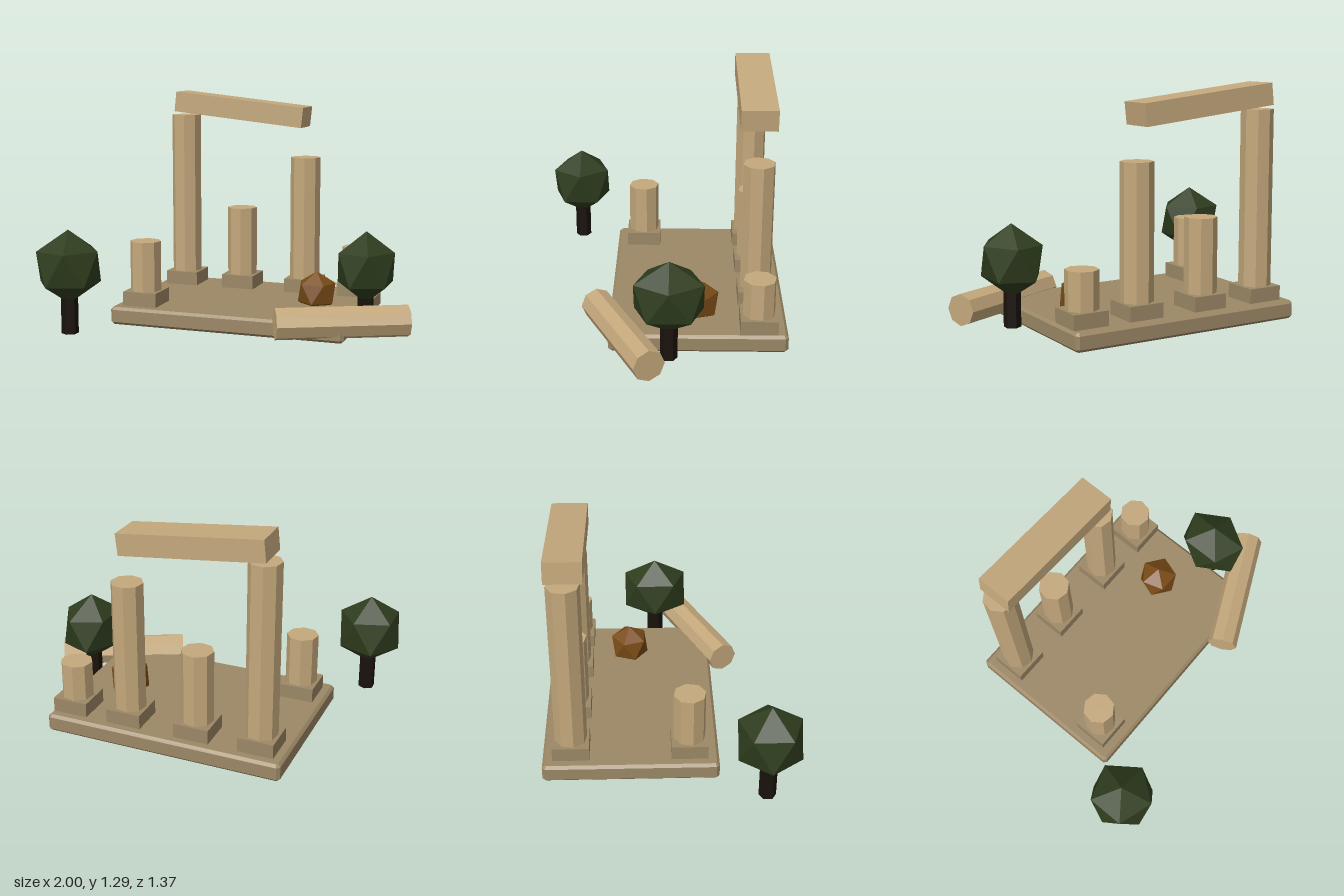
import * as THREE from 'three';

const material = (color) => new THREE.MeshStandardMaterial({ color, flatShading: true });

export function createModel() {
  const stone = material(0xc4a87c);
  const floorStone = material(0x9c8866);
  const leaf = material(0x2f3d1e);
  const bark = material(0x1a120c);
  const rock = material(0x7a4c17);

  const model = new THREE.Group();
  model.name = 'ruinedTemple';

  const add = (name, geometry, mat, x, y, z, parent = model) => {
    const mesh = new THREE.Mesh(geometry, mat);
    mesh.name = name;
    mesh.position.set(x, y, z);
    parent.add(mesh);
    return mesh;
  };

  // Icosahedron standing on one of its corners
  const gem = (radius) => new THREE.IcosahedronGeometry(radius, 0)
    .rotateZ(-Math.atan(2 / (1 + Math.sqrt(5))));

  // Floor slab with chamfered edges
  const w = 0.665, d = 0.465, c = 0.008;
  const outline = new THREE.Shape([
    [w - c, -d], [w, -d + c], [w, d - c], [w - c, d],
    [-w + c, d], [-w, d - c], [-w, -d + c], [-w + c, -d],
  ].map(([x, y]) => new THREE.Vector2(x, y)));
  const slab = new THREE.ExtrudeGeometry(outline, {
    depth: 0.07, bevelEnabled: true, bevelThickness: 0.015, bevelSize: 0.015, bevelSegments: 1,
  });
  slab.rotateX(-Math.PI / 2);
  add('floorSlab', slab, floorStone, -0.02, 0.015, -0.21);

  // Broken columns on square plinths: x, z, top height
  const columns = [
    [-0.545, -0.535, 1.15],
    [-0.18, -0.535, 0.59],
    [0.22, -0.535, 0.91],
    [0.545, -0.535, 0.385],
    [-0.545, 0.11, 0.465],
  ];
  for (const [x, z, top] of columns) {
    const column = new THREE.Group();
    column.name = 'column';
    column.position.set(x, 0, z);
    model.add(column);
    add('plinth', new THREE.BoxGeometry(0.2, 0.08, 0.2), floorStone, 0, 0.14, 0, column);
    const h = top - 0.18;
    const shaft = add('shaft', new THREE.CylinderGeometry(0.089, 0.089, h, 8), stone, 0, 0.18 + h / 2, 0, column);
    shaft.rotation.y = 0.2;
  }

  // Tilted lintel
  const lintel = add('lintel', new THREE.BoxGeometry(0.805, 0.12, 0.2), stone, -0.175, 1.192, -0.53);
  lintel.rotation.z = -0.106;

  // Fallen column lying across the corner
  const fallen = new THREE.CylinderGeometry(0.088, 0.088, 0.725, 8).rotateZ(Math.PI / 2);
  add('fallenColumn', fallen, stone, 0.633, 0.102, 0.197).rotation.y = 0.442;

  // Boulder on the floor
  add('boulder', gem(0.121), rock, 0.382, 0.164, -0.215).rotation.y = 0.3;

  // Trees: x, z, crown centre height, crown scale
  const trees = [
    [-0.825, 0.515, 0.372, [0.96, 1, 0.96]],
    [0.705, -0.055, 0.36, [0.87, 0.98, 1.05]],
  ];
  for (const [x, z, y, scale] of trees) {
    const tree = new THREE.Group();
    tree.name = 'tree';
    tree.position.set(x, 0, z);
    model.add(tree);
    add('trunk', new THREE.CylinderGeometry(0.047, 0.047, 0.25, 6), bark, 0, 0.125, 0, tree);
    add('crown', gem(0.205), leaf, 0, y, 0, tree).scale.set(...scale);
  }

  return model;
}
